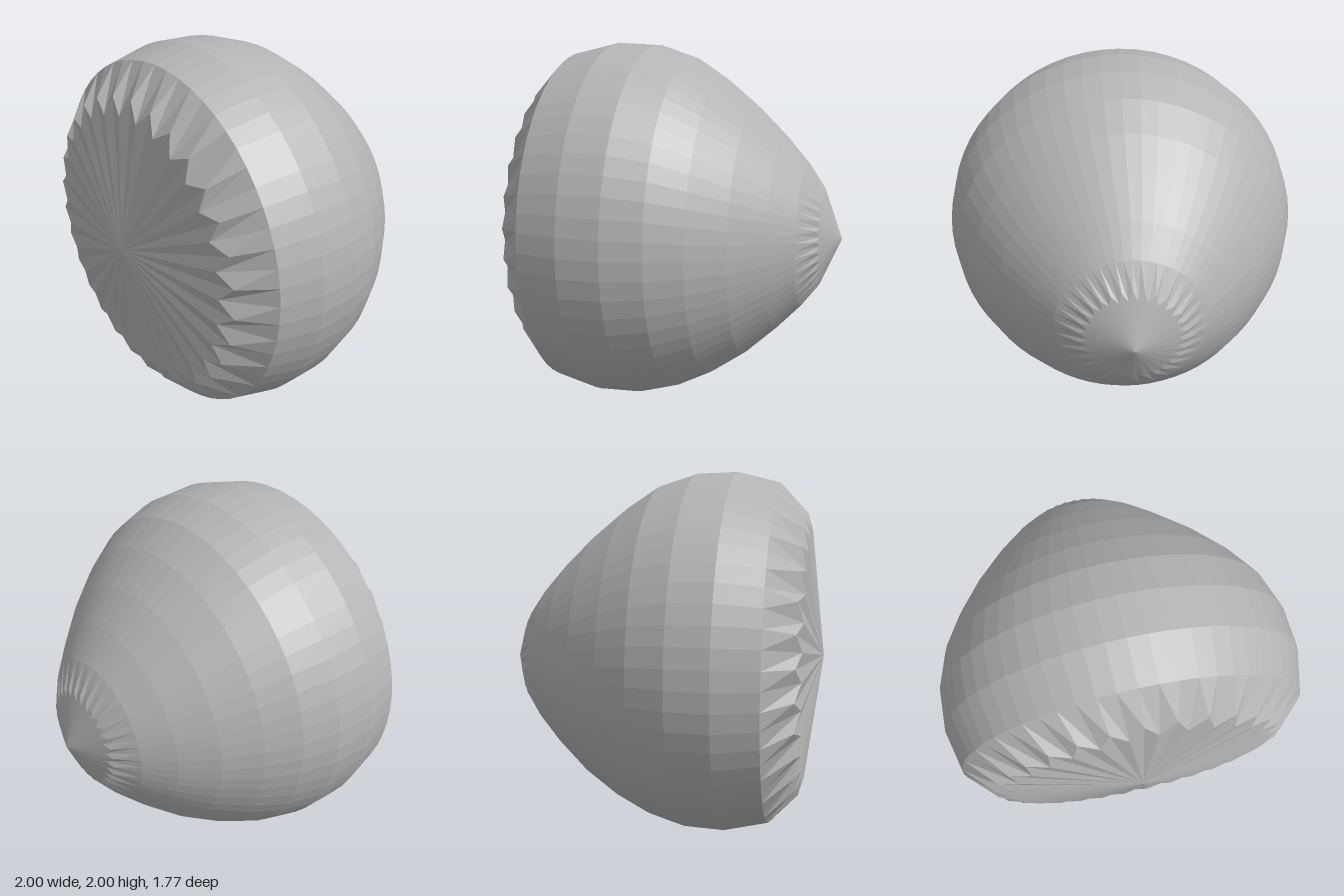
import * as THREE from 'three';

const SIDES = 60;

// Skins rings listed from front to back: [z, radius, centreX, centreY, toothDepth, toothRise]
// Every other vertex of a toothed ring moves inward by toothDepth and along z by toothRise.
function loft(rings, material, name) {
  const positions = [];
  const indices = [];
  for (const [z, radius, cx, cy, depth = 0, rise = 0] of rings) {
    for (let i = 0; i < SIDES; i++) {
      const a = (i / SIDES) * Math.PI * 2;
      const tooth = i % 2 === 0 ? 1 : 0;
      const r = radius - tooth * depth;
      positions.push(cx + r * Math.cos(a), cy + r * Math.sin(a), z + tooth * rise);
    }
  }
  for (let k = 0; k < rings.length - 1; k++) {
    for (let i = 0; i < SIDES; i++) {
      const j = (i + 1) % SIDES;
      const a = k * SIDES + i, d = k * SIDES + j;
      const b = a + SIDES, c = d + SIDES;
      if (rings[k][1] > 0) indices.push(a, c, d);
      if (rings[k + 1][1] > 0) indices.push(a, b, c);
    }
  }
  const geometry = new THREE.BufferGeometry();
  geometry.setAttribute('position', new THREE.Float32BufferAttribute(positions, 3));
  geometry.setIndex(indices);
  geometry.computeVertexNormals();
  const mesh = new THREE.Mesh(geometry, material);
  mesh.name = name;
  return mesh;
}

export function createModel() {
  const group = new THREE.Group();
  group.name = 'facetedShell';
  const grey = new THREE.MeshStandardMaterial({ color: 0xb4b4b4, flatShading: true });
  grey.name = 'plain grey';

  // Shallow front cone with a toothed rim
  const rim = [0.77, 0.79, 0, 1, 0.09, 0.028];
  group.add(loft([[0.885, 0, 0, 1], rim], grey, 'frontCap'));

  // Fluted bevel from the toothed rim to the widest shoulder
  const shoulder = [0.62, 0.943, 0, 1.002];
  group.add(loft([rim, shoulder], grey, 'flutedBevel'));

  // Rounded body narrowing to the back
  const neck = [-0.68, 0.4, -0.027, 0.955];
  group.add(loft([
    shoulder,
    [0.39, 0.998, 0, 1.002],
    [0.17, 0.99, 0, 1],
    [-0.03, 0.93, 0, 0.995],
    [-0.205, 0.83, -0.005, 0.98],
    [-0.385, 0.695, -0.015, 0.966],
    [-0.55, 0.54, -0.025, 0.96],
    neck,
  ], grey, 'body'));

  // Fluted band and the slightly off-centre back point
  const tipRim = [-0.772, 0.275, -0.03, 0.95, 0.04, -0.016];
  group.add(loft([neck, tipRim], grey, 'flutedBackBand'));
  group.add(loft([tipRim, [-0.885, 0, -0.035, 0.94]], grey, 'backPoint'));

  return group;
}
